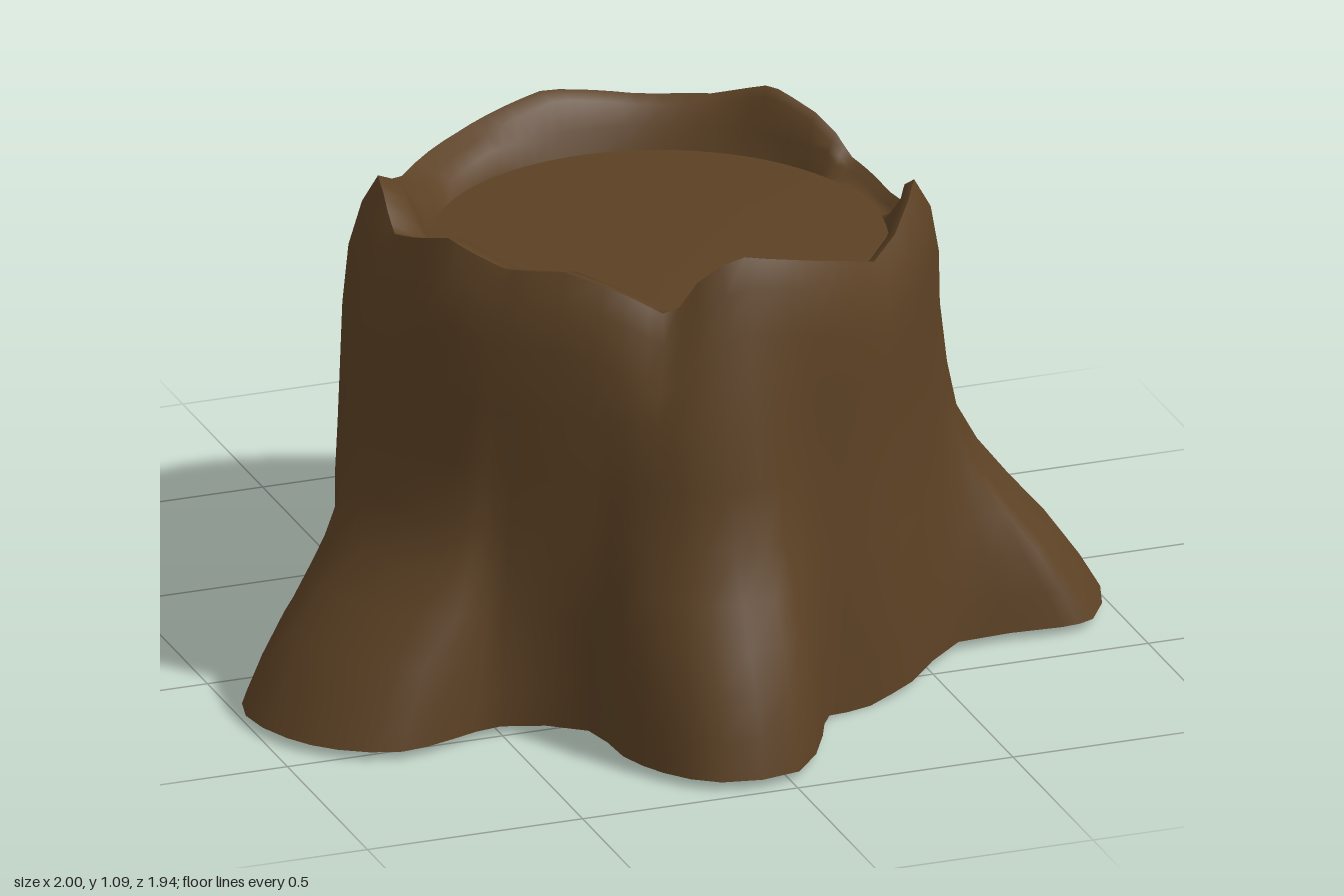
import * as THREE from 'three';

// Ground outline of the five roots, as x, z pairs
const OUTLINE = [
  0.72, -0.08, 0.79, -0.02, 0.92, 0.03, 0.99, 0.1, 1.0, 0.2, 0.92, 0.37, 0.84, 0.39, 0.6, 0.39,
  0.43, 0.56, 0.31, 0.62, 0.2, 0.66, 0.14, 0.78, 0.02, 0.955, -0.16, 0.955, -0.26, 0.86, -0.31, 0.74,
  -0.33, 0.58, -0.5, 0.49, -0.62, 0.52, -0.75, 0.55, -0.88, 0.49, -0.96, 0.39, -1.0, 0.24, -0.95, 0.11,
  -0.83, 0.0, -0.7, -0.06, -0.65, -0.15, -0.6, -0.27, -0.53, -0.42, -0.46, -0.56, -0.42, -0.76, -0.33, -0.88,
  -0.2, -0.95, -0.05, -0.965, 0.08, -0.9, 0.14, -0.8, 0.21, -0.66, 0.37, -0.68, 0.65, -0.8, 0.83, -0.78,
  0.92, -0.69, 0.98, -0.45, 0.9, -0.32, 0.81, -0.22, 0.72, -0.15,
];

// Height of the broken rim: angle in degrees (from +x towards +z), height
const RIM = [
  [-5, 0.91], [5, 0.92], [15, 1.0], [26, 1.07], [36, 1.04], [50, 0.97], [64, 1.02], [78, 1.06],
  [90, 1.09], [98, 1.06], [105, 0.96], [114, 1.01], [126, 1.06], [142, 1.04], [158, 1.07], [170, 1.03],
  [180, 1.0], [190, 1.07], [200, 1.06], [208, 1.0], [225, 0.95], [245, 0.98], [268, 1.03], [290, 1.0],
  [305, 1.01], [318, 1.05], [333, 1.0], [340, 0.94], [355, 0.91],
];

// Outer wall levels: height, trunk radius, how far the roots still spread
const LEVELS = [
  [0.02, 0.66, 1], [0.1, 0.66, 0.87], [0.19, 0.66, 0.69], [0.28, 0.66, 0.47],
  [0.37, 0.66, 0.27], [0.47, 0.655, 0.13], [0.6, 0.65, 0.07], [0.74, 0.645, 0.04],
];
const FLOOR = 0.9;

function rimHeight(deg) {
  const d = ((deg + 5 + 720) % 360) - 5;
  for (let i = 0; i < RIM.length - 1; i++) {
    const [a, ha] = RIM[i], [b, hb] = RIM[i + 1];
    if (d <= b) return THREE.MathUtils.lerp(ha, hb, (d - a) / (b - a));
  }
  return RIM[0][1];
}

// Joins closed rings of points into one smooth skin
function skin(columns) {
  const n = columns.length, rows = columns[0].length;
  const pos = [], idx = [];
  columns.forEach((col) => col.forEach((p) => pos.push(...p)));
  for (let j = 0; j < n; j++) {
    const k = (j + 1) % n;
    for (let i = 0; i < rows - 1; i++) {
      const a = j * rows + i, b = k * rows + i;
      idx.push(a, a + 1, b, b, a + 1, b + 1);
    }
  }
  const g = new THREE.BufferGeometry();
  g.setAttribute('position', new THREE.Float32BufferAttribute(pos, 3));
  g.setIndex(idx);
  g.computeVertexNormals();
  return g;
}

export function createModel() {
  const bark = new THREE.MeshStandardMaterial({ color: 0x5c4124, side: THREE.DoubleSide });
  bark.name = 'brown bark';

  const pts = [];
  for (let i = 0; i < OUTLINE.length; i += 2) pts.push(new THREE.Vector3(OUTLINE[i], 0, OUTLINE[i + 1]));
  const ring = new THREE.CatmullRomCurve3(pts, true).getPoints(pts.length * 2).slice(0, -1);

  const outer = [], inner = [], floor = [];
  for (const p of ring) {
    const angle = Math.atan2(p.z, p.x), c = Math.cos(angle), s = Math.sin(angle);
    const spread = Math.hypot(p.x, p.z) - 0.66;
    const h = rimHeight(THREE.MathUtils.radToDeg(angle));
    const at = (r, y, dx = 0) => [c * r + dx, y, s * r];

    // The front root stays full a little higher than the others
    const power = 1 - 0.5 * Math.max(0, s) ** 8;
    const wall = LEVELS.map(([y, r, f], i) => {
      const dip = i === 0 ? 0.02 * Math.exp(-(((angle - 1.15) / 0.15) ** 2)) : 0;
      return at(r + spread * f ** power, y - dip);
    });
    wall.push(at(0.64 + spread * 0.02, h - 0.16, 0.01), at(0.62, h - 0.06, 0.02), at(0.585, h, 0.02));
    outer.push(wall);

    // Lip of the rim falling to the cut
    inner.push([at(0.585, h, 0.02), at(0.55, h - 0.015, 0.035), at(0.52, Math.min(h - 0.03, FLOOR + 0.05), 0.05), at(0.5, FLOOR, 0.05)]);
    floor.push([at(0.5, FLOOR, 0.05), at(0.25, FLOOR + 0.005, 0.05), [0.05, FLOOR + 0.005, 0]]);
  }

  const group = new THREE.Group();
  group.name = 'treeStump';
  const add = (name, columns) => {
    const mesh = new THREE.Mesh(skin(columns), bark);
    mesh.name = name;
    group.add(mesh);
  };
  add('trunkAndRoots', outer); // hollow underneath
  add('brokenRim', inner);
  add('cutTop', floor);
  return group;
}
